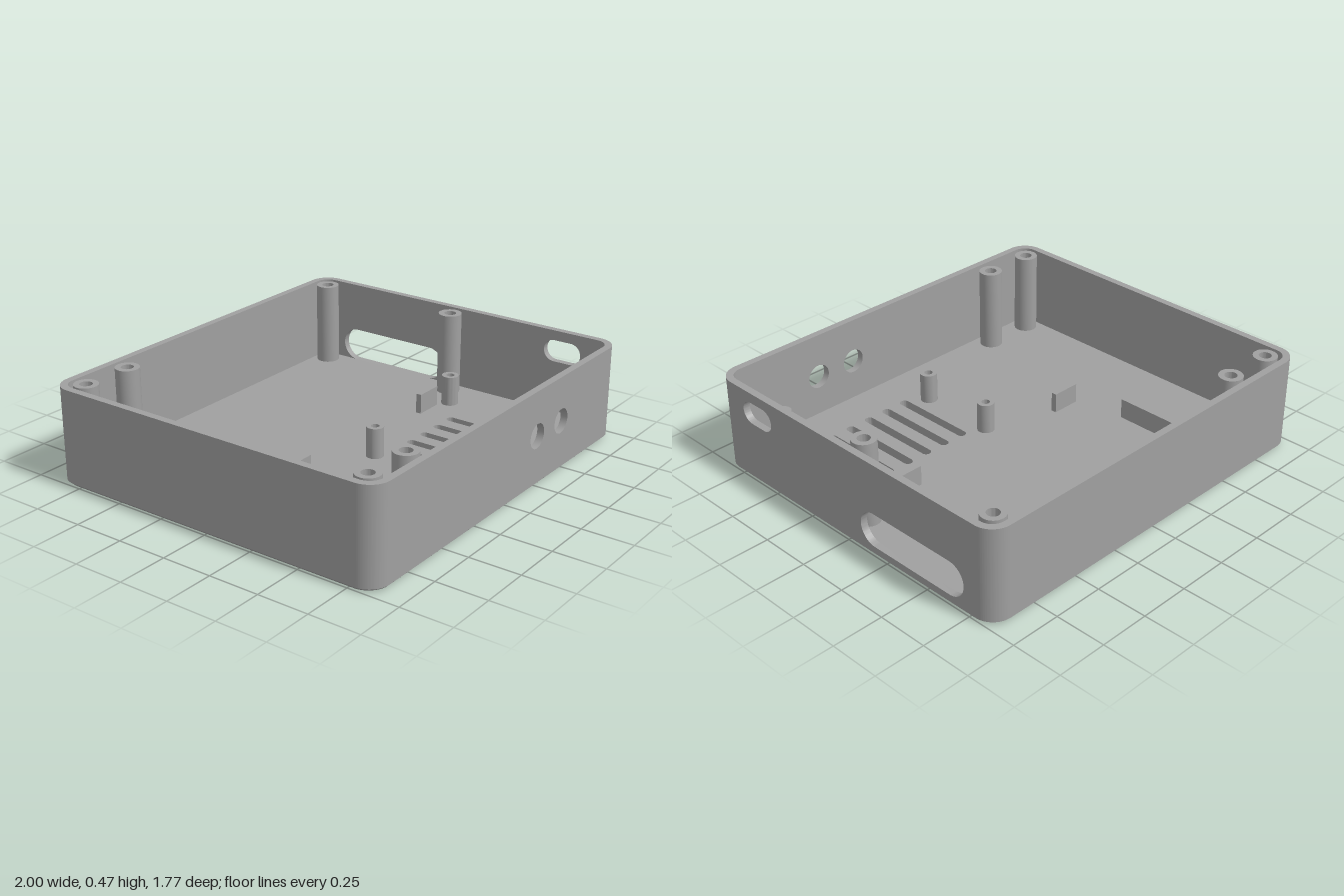
import * as THREE from 'three';
import { toCreasedNormals } from 'three/addons/utils/BufferGeometryUtils.js';

const W = 1, D = 0.885, H = 0.47;          // half width, half depth, height
const T = 0.035, R = 0.1;                  // wall thickness, corner radius
const BASE = 0.015, FLOOR = 0.05;          // chamfered base top, floor top

// Rounded rectangle given by half sizes
function roundedRect(w, d, r) {
  const s = new THREE.Shape(), q = Math.PI / 2;
  s.absarc(w - r, d - r, r, 0, q);
  s.absarc(-w + r, d - r, r, q, 2 * q);
  s.absarc(-w + r, -d + r, r, 2 * q, 3 * q);
  s.absarc(w - r, -d + r, r, 3 * q, 4 * q);
  s.closePath();
  return s;
}

function rect(x0, y0, x1, y1) {
  return new THREE.Shape([[x0, y0], [x1, y0], [x1, y1], [x0, y1]].map(p => new THREE.Vector2(...p)));
}

function circle(x, y, r) {
  return new THREE.Path().absarc(x, y, r, 0, Math.PI * 2, true);
}

// Slot with round ends, horizontal or vertical
function slot(x0, y0, x1, y1) {
  const p = new THREE.Path(), w = x1 - x0, h = y1 - y0, r = Math.min(w, h) / 2, q = Math.PI / 2;
  if (w > h) {
    p.absarc(x1 - r, y0 + r, r, -q, q);
    p.absarc(x0 + r, y0 + r, r, q, 3 * q);
  } else {
    p.absarc(x0 + r, y1 - r, r, 0, 2 * q);
    p.absarc(x0 + r, y0 + r, r, 2 * q, 4 * q);
  }
  p.closePath();
  return p;
}

function extrude(shape, depth) {
  return new THREE.ExtrudeGeometry(shape, { depth, bevelEnabled: false, curveSegments: 16 });
}

// Plan shape (x, z) raised from y0 to y1
function raise(shape, y0, y1) {
  return extrude(shape, y1 - y0).rotateX(Math.PI / 2).translate(0, y1, 0);
}

export function createModel() {
  const model = new THREE.Group();
  model.name = 'enclosureBase';
  const grey = new THREE.MeshStandardMaterial({ color: 0xa0a0a0 });
  grey.name = 'grey plastic';
  const add = (name, geo) => {
    const mesh = new THREE.Mesh(toCreasedNormals(geo, 0.5), grey);
    mesh.name = name;
    model.add(mesh);
  };

  // Ventilation slots cut through both bottom layers
  const vents = [0.113, 0.228, 0.34, 0.455, 0.57].map(x => slot(x - 0.0225, 0.2, x + 0.0225, 0.65));

  // Underside layer with four foot recesses; its lower rim is pulled in as a chamfer
  const baseShape = roundedRect(W, D, R);
  baseShape.holes.push(...vents);
  for (const x of [-0.81, 0.81]) for (const z of [-0.7, 0.7]) baseShape.holes.push(circle(x, z, 0.09));
  const base = raise(baseShape, 0, BASE);
  const pos = base.attributes.position;
  for (let i = 0; i < pos.count; i++) {
    const x = pos.getX(i), z = pos.getZ(i);
    if (pos.getY(i) < BASE / 2 && (Math.abs(x) > 0.95 || Math.abs(z) > 0.84)) {
      pos.setXYZ(i, x * (1 - BASE / W), 0, z * (1 - BASE / D));
    }
  }
  add('underside', base);

  // Inner floor
  const floorShape = roundedRect(W - T, D - T, R - T);
  floorShape.holes.push(...vents);
  add('floor', raise(floorShape, BASE, FLOOR));

  // Front and back walls
  const frontShape = rect(-W + R, BASE, W - R, H);
  frontShape.holes.push(circle(0.24, 0.25, 0.06), circle(0.455, 0.25, 0.06));
  add('frontWall', extrude(frontShape, T).translate(0, 0, D - T));
  add('backWall', extrude(rect(-W + R, BASE, W - R, H), T).translate(0, 0, -D));

  // Side walls, drawn with horizontal axis -z
  const sideShape = rect(-D + R, BASE, D - R, H);
  sideShape.holes.push(slot(-0.7, 0.31, -0.5, 0.42), slot(0.09, 0.05, 0.72, 0.22));
  add('leftWall', extrude(sideShape, T).rotateY(Math.PI / 2).translate(W - T, 0, 0));
  add('rightWall', extrude(rect(-D + R, BASE, D - R, H), T).rotateY(Math.PI / 2).translate(-W, 0, 0));

  // Rounded wall corners
  [[1, 1], [-1, 1], [-1, -1], [1, -1]].forEach(([sx, sz], k) => {
    const a = k * Math.PI / 2, b = a + Math.PI / 2, x = sx * (W - R), z = sz * (D - R);
    const s = new THREE.Shape();
    s.absarc(x, z, R, a, b, false);
    s.absarc(x, z, R - T, b, a, true);
    s.closePath();
    add('wallCorner', raise(s, BASE, H));
  });

  // Hollow screw posts
  const post = (name, x, z, r, bore, top) => {
    const s = new THREE.Shape();
    s.absarc(x, z, r, 0, Math.PI * 2);
    s.holes.push(circle(x, z, bore));
    add(name, raise(s, FLOOR, top));
  };
  for (const [x, z] of [[-0.89, -0.775], [-0.63, -0.775], [0.885, -0.775], [0.885, 0], [-0.89, 0.77], [-0.63, 0.77]]) {
    post('tallPost', x, z, 0.058, 0.03, H - 0.002);
  }
  for (const [x, z] of [[0, 0.17], [0, 0.57], [0.745, 0.1], [0.727, 0.79]]) {
    post('shortPost', x, z, 0.042, 0.02, 0.2);
  }

  // Upright locating ribs
  for (const [x0, z0, x1, z1] of [[-0.565, -0.645, -0.535, -0.22], [-0.49, 0.035, -0.345, 0.063], [0.54, 0.035, 0.685, 0.063]]) {
    add('rib', raise(rect(x0, z0, x1, z1), FLOOR, 0.15));
  }
  return model;
}
